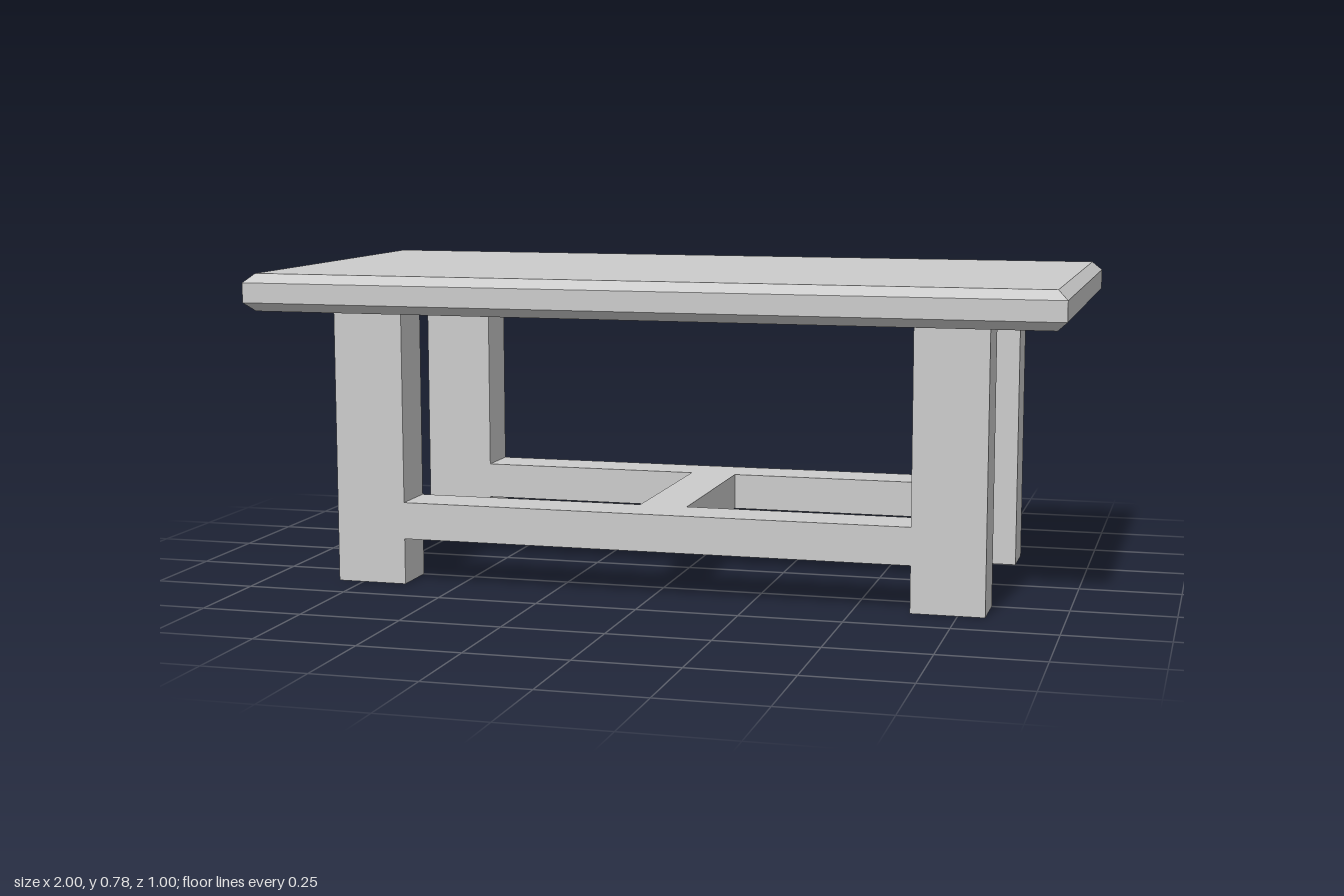
import * as THREE from 'three';

const material = new THREE.MeshStandardMaterial({ color: 0xcccccc, flatShading: true });

// Box given by its [min, max] extent on each axis
function block(name, [x0, x1], [y0, y1], [z0, z1]) {
  const mesh = new THREE.Mesh(new THREE.BoxGeometry(x1 - x0, y1 - y0, z1 - z0), material);
  mesh.position.set((x0 + x1) / 2, (y0 + y1) / 2, (z0 + z1) / 2);
  mesh.name = name;
  return mesh;
}

// Slab with all upper and lower edges chamfered
function tabletop(width, depth, bottom, top) {
  const inset = 0.024, chamfer = 0.022;
  const w = width / 2 - inset, d = depth / 2 - inset;
  const outline = new THREE.Shape([
    new THREE.Vector2(-w, -d), new THREE.Vector2(w, -d),
    new THREE.Vector2(w, d), new THREE.Vector2(-w, d),
  ]);
  const geometry = new THREE.ExtrudeGeometry(outline, {
    depth: top - bottom - 2 * chamfer,
    bevelThickness: chamfer, bevelSize: inset, bevelSegments: 1,
  });
  geometry.rotateX(-Math.PI / 2);
  geometry.translate(0, bottom + chamfer, 0);
  const mesh = new THREE.Mesh(geometry, material);
  mesh.name = 'tabletop';
  return mesh;
}

export function createModel() {
  const model = new THREE.Group();
  model.name = 'table';

  const topBottom = 0.687, topHeight = 0.78;
  const legX = [0.637, 0.815], legZ = [0.25, 0.375], railY = [0.115, 0.207];
  const mirror = ([a, b], sign) => (sign > 0 ? [a, b] : [-b, -a]);

  model.add(tabletop(2, 1, topBottom, topHeight));

  for (const [side, sz] of [['front', 1], ['back', -1]]) {
    const z = mirror(legZ, sz);
    // Legs
    model.add(block(side + 'LeftLeg', mirror(legX, 1), [0, topBottom], z));
    model.add(block(side + 'RightLeg', mirror(legX, -1), [0, topBottom], z));
    // Long rail, flush with the legs
    model.add(block(side + 'Rail', [-legX[0], legX[0]], railY, z));
  }

  // Rail joining the two long rails
  model.add(block('crossRail', [-0.06, 0.06], railY, [-legZ[0], legZ[0]]));

  return model;
}
